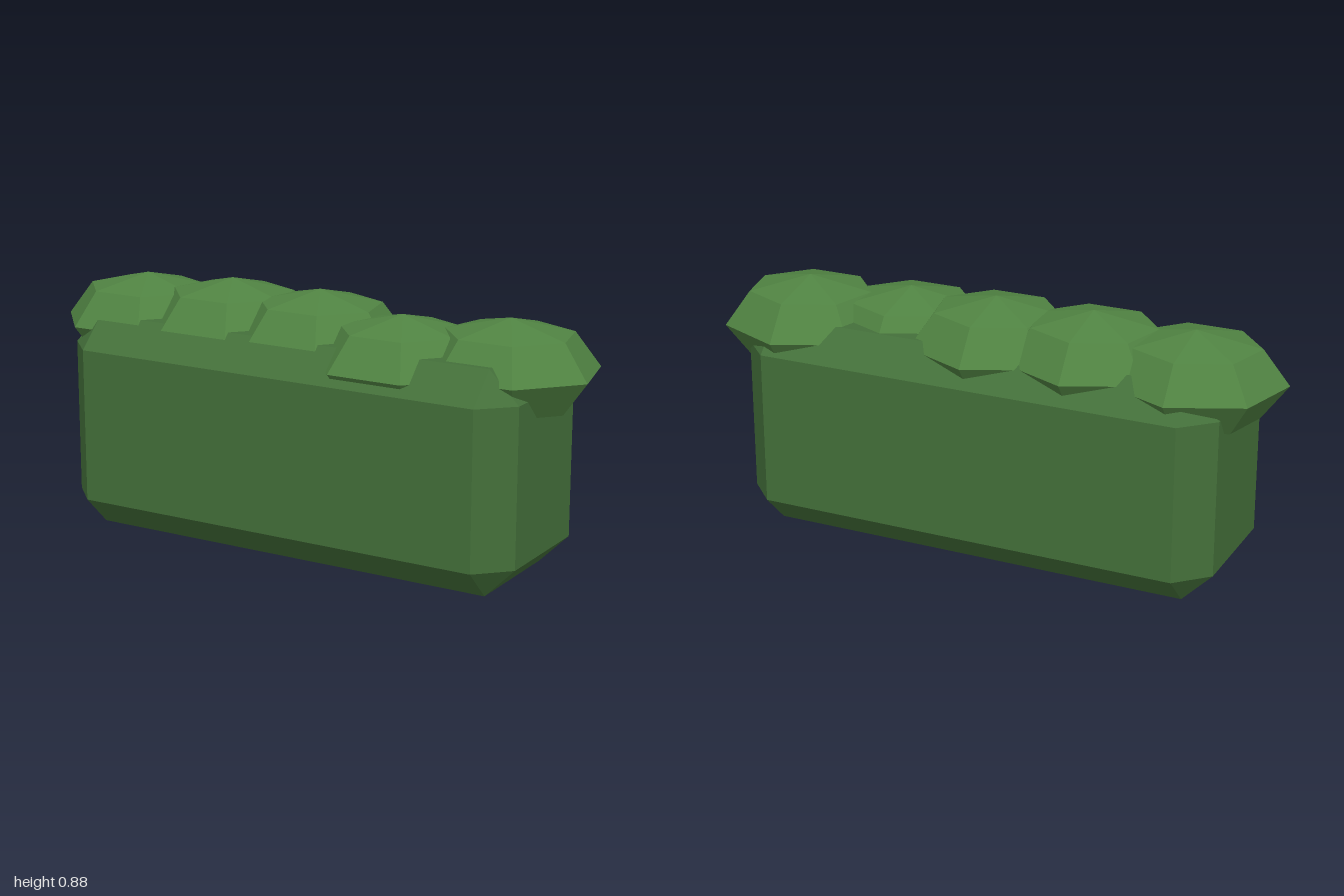
import * as THREE from 'three';
import { ConvexGeometry } from 'three/addons/geometries/ConvexGeometry.js';

// Box with every edge and corner cut off at the given chamfer
function chamferBox(w, h, d, c) {
  const points = [];
  for (const x of [-1, 1]) for (const y of [-1, 1]) for (const z of [-1, 1]) {
    for (let face = 0; face < 3; face++) {
      const inset = [c, c, c];
      inset[face] = 0;
      points.push(new THREE.Vector3(
        x * (w / 2 - inset[0]), y * (h / 2 - inset[1]), z * (d / 2 - inset[2])));
    }
  }
  return new ConvexGeometry(points);
}

export function createModel() {
  const group = new THREE.Group();
  group.name = 'hedge';
  const bodyMaterial = new THREE.MeshStandardMaterial({ color: 0x44703a, flatShading: true });
  const leafMaterial = new THREE.MeshStandardMaterial({ color: 0x508342, flatShading: true });

  // Trimmed hedge block
  const body = new THREE.Mesh(chamferBox(1.706, 0.745, 0.612, 0.105), bodyMaterial);
  body.name = 'hedgeBody';
  body.position.set(0, 0.3725, 0.007);
  group.add(body);

  // Row of seven-sided leaf clumps, one point of each towards the back
  const clumpGeometry = new THREE.SphereGeometry(1, 7, 4, -Math.PI / 2);
  const clumps = [
    [-0.70, 0.697, -0.01],
    [-0.35, 0.713, -0.018],
    [0, 0.711, -0.018],
    [0.35, 0.677, 0.045],
    [0.70, 0.691, -0.033],
  ];
  clumps.forEach(([x, y, z], i) => {
    const clump = new THREE.Mesh(clumpGeometry, leafMaterial);
    clump.name = `leafClump${i + 1}`;
    clump.position.set(x, y, z);
    clump.scale.set(0.307, 0.166, 0.282);
    group.add(clump);
  });

  return group;
}
